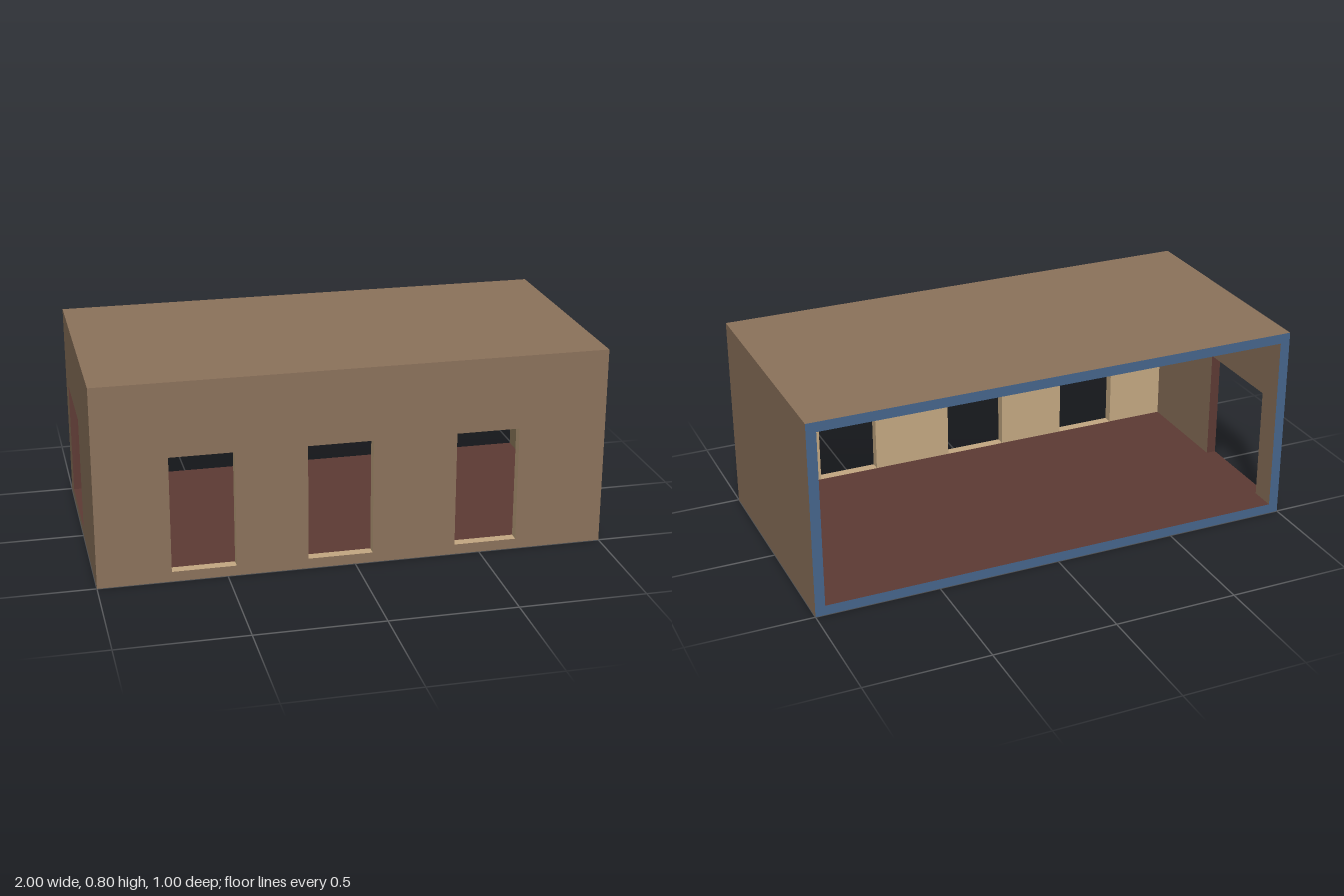
import * as THREE from 'three';

const T = 0.04, W = 2, H = 0.8, D = 1;

const mat = (name, color) => {
  const m = new THREE.MeshStandardMaterial({ color });
  m.name = name;
  return m;
};

const rect = (u0, v0, u1, v1) => [[u0, v0], [u1, v0], [u1, v1], [u0, v1]].map(p => new THREE.Vector2(...p));

// Wall slab with rectangular openings; mats: 0 inner, 1 outer, 2-5 top/right/bottom/left edges, 6 reveals
function openWall(name, u0, u1, holes, mats) {
  const shape = new THREE.Shape(rect(u0, 0, u1, H));
  for (const h of holes) shape.holes.push(new THREE.Path(rect(...h)));
  const geo = new THREE.ExtrudeGeometry(shape, { depth: T, bevelEnabled: false });
  const cap = geo.groups[0].count / 2;
  const total = geo.attributes.position.count;
  geo.clearGroups();
  geo.addGroup(0, cap, 0);
  geo.addGroup(cap, cap, 1);
  for (let i = 0; i < 4; i++) geo.addGroup(cap * 2 + i * 6, 6, 2 + i);
  geo.addGroup(cap * 2 + 24, total - cap * 2 - 24, 6);
  const mesh = new THREE.Mesh(geo, mats);
  mesh.name = name;
  return mesh;
}

export function createModel() {
  const group = new THREE.Group();
  group.name = 'openRoom';

  const brown = mat('outerBrown', 0x8b725b);
  const beige = mat('plasterBeige', 0xc4a882);
  const olive = mat('sideWallTan', 0x8f7d5c);
  const red = mat('floorRedBrown', 0x5d3a34);
  const blue = mat('rimBlue', 0x46658b);

  // Plain slabs: floor, ceiling and closed side wall, with the blue cut edge at the back
  const slab = (name, w, h, x, y, mats) => {
    const mesh = new THREE.Mesh(new THREE.BoxGeometry(w, h, D - T), mats);
    mesh.position.set(x, y, -T / 2);
    mesh.name = name;
    group.add(mesh);
  };
  const inner = W - 2 * T;
  slab('floor', inner, T, 0, T / 2, [brown, brown, red, brown, brown, blue]);
  slab('ceiling', inner, T, 0, H - T / 2, [brown, brown, brown, brown, brown, blue]);
  slab('closedSideWall', T, H, W / 2 - T / 2, H / 2, [brown, olive, brown, brown, brown, blue]);

  // Front wall with three openings
  const openings = [[-0.715, -0.465], [-0.185, 0.07], [0.4, 0.65]].map(([a, b]) => [a, T, b, 0.505]);
  const front = openWall('frontWall', -W / 2, W / 2, openings,
    [beige, brown, brown, brown, brown, brown, beige]);
  front.position.z = D / 2 - T;
  group.add(front);

  // Side wall with a single doorway
  const side = openWall('doorwaySideWall', -D / 2, D / 2 - T, [[-0.395, T, 0.01, 0.5]],
    [brown, brown, brown, brown, brown, blue, red]);
  side.rotation.y = -Math.PI / 2;
  side.position.x = -W / 2 + T;
  group.add(side);

  return group;
}
